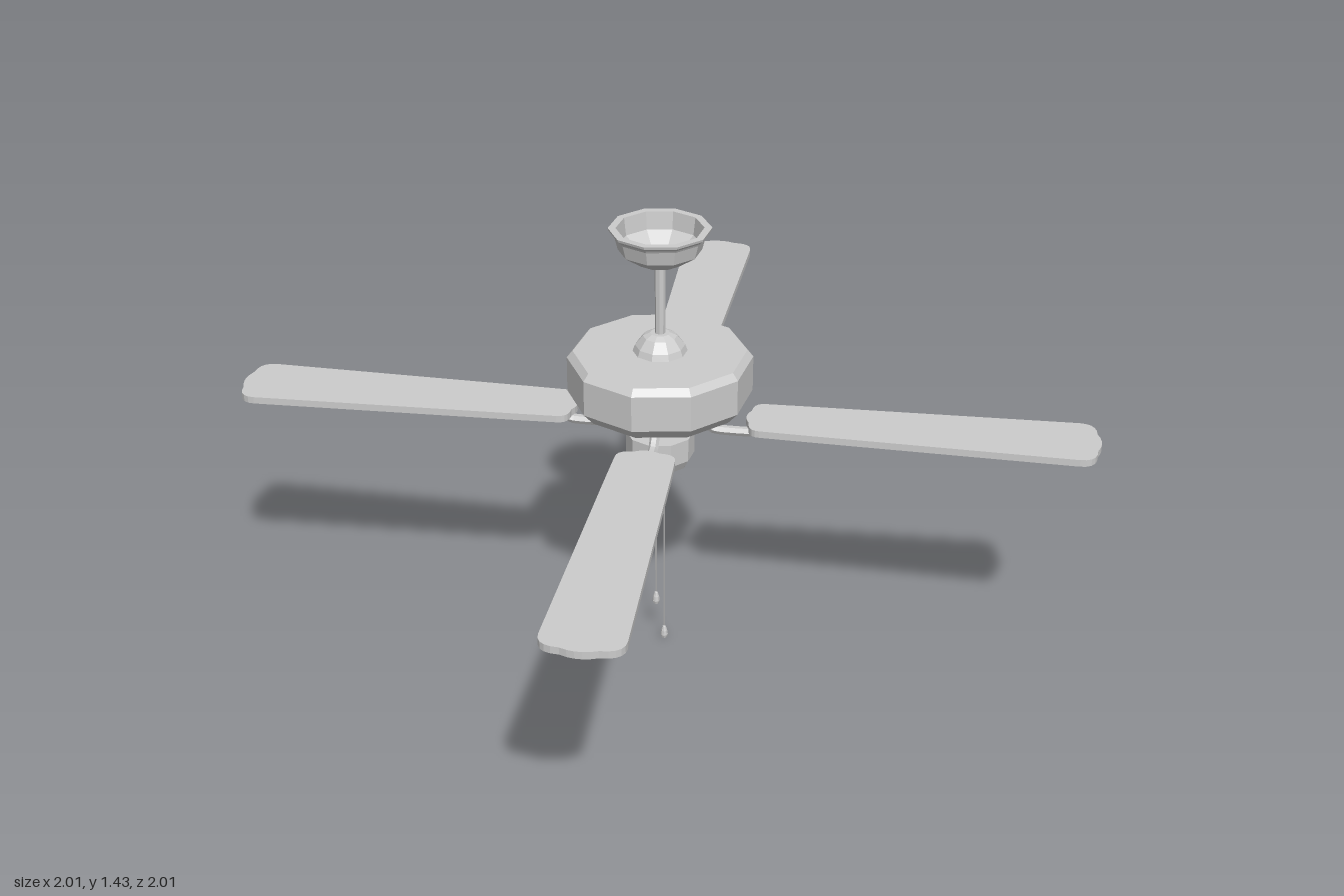
import * as THREE from 'three';

const SIDES = 10;
const BODY_Z = -0.008; // axis of the motor column

const mat = new THREE.MeshStandardMaterial({ color: 0xcccccc, flatShading: true });
const thinMat = new THREE.MeshStandardMaterial({ color: 0xcccccc, flatShading: true, side: THREE.DoubleSide });

function add(parent, name, geometry, material = mat) {
  const mesh = new THREE.Mesh(geometry, material);
  mesh.name = name;
  parent.add(mesh);
  return mesh;
}

// Faceted turned part; profile is [radius, y] from bottom to top
function turned(profile, sides = SIDES) {
  const pts = profile.map(([r, y]) => new THREE.Vector2(r, y));
  return new THREE.LatheGeometry(pts, sides, Math.PI / 2);
}

function rod(radius, y0, y1) {
  return new THREE.CylinderGeometry(radius, radius, y1 - y0, 8).translate(0, (y0 + y1) / 2, 0);
}

// Flat board lying in the xz plane
function board(shape, y0, y1) {
  return new THREE.ExtrudeGeometry(shape, { depth: y1 - y0, bevelEnabled: false, curveSegments: 5 })
    .rotateX(-Math.PI / 2).translate(0, y0, 0);
}

// Rounded end at x = end, running between half widths -w and +w
function roundedEnd(shape, end, w, corner, dir) {
  const bulge = 0.012 * dir;
  shape.lineTo(end - corner * dir, -w * dir);
  shape.quadraticCurveTo(end - bulge, -w * dir, end - bulge, -(w - corner) * dir);
  shape.quadraticCurveTo(end + bulge, 0, end - bulge, (w - corner) * dir);
  shape.quadraticCurveTo(end - bulge, w * dir, end - corner * dir, w * dir);
}

function makeBlade() {
  const arm = new THREE.Group();
  arm.name = 'bladeAssembly';
  const joint = 0.43, jointW = 0.094;

  const blade = new THREE.Shape();
  blade.moveTo(joint, jointW);
  blade.lineTo(joint, -jointW);
  roundedEnd(blade, 1.33, 0.117, 0.065, 1);
  blade.closePath();
  add(arm, 'blade', board(blade, 0.807, 0.829));

  const root = new THREE.Shape();
  root.moveTo(joint, -jointW);
  root.lineTo(joint, jointW);
  roundedEnd(root, 0.262, 0.09, 0.05, -1);
  root.closePath();
  add(arm, 'bladeRoot', board(root, 0.807, 0.829));

  // Bent bracket from the hub, dipping below the blade root
  const path = new THREE.CurvePath();
  const pts = [[0.04, 0.81], [0.12, 0.81], [0.165, 0.778], [0.285, 0.778], [0.315, 0.812]]
    .map(([r, y]) => new THREE.Vector3(r, y, 0));
  const curve = new THREE.CatmullRomCurve3(pts, false, 'catmullrom', 0.25);
  add(arm, 'bracket', new THREE.TubeGeometry(curve, 16, 0.015, 6));
  return arm;
}

export function createModel() {
  const fan = new THREE.Group();
  fan.name = 'ceilingFan';

  const body = new THREE.Group();
  body.name = 'body';
  body.position.z = BODY_Z;
  fan.add(body);

  // Open cup against the ceiling
  add(body, 'canopy', turned([
    [0, 1.325], [0.072, 1.325], [0.125, 1.362], [0.136, 1.405],
    [0.14, 1.412], [0.152, 1.422], [0.154, 1.43], [0.131, 1.43],
    [0.124, 1.375], [0.076, 1.335], [0, 1.335],
  ]), thinMat);
  add(body, 'downRod', rod(0.016, 1.07, 1.33));

  // Motor housing with its collar dome
  add(body, 'motorHousing', turned([
    [0, 0.832], [0.165, 0.832], [0.25, 0.858], [0.283, 0.895],
    [0.283, 1.008], [0.265, 1.03], [0, 1.03],
  ]));
  add(body, 'collar', turned([
    [0.085, 1.025], [0.076, 1.05], [0.052, 1.08], [0.03, 1.09], [0, 1.09],
  ]));
  add(body, 'hub', turned([[0, 0.803], [0.075, 0.803], [0.078, 0.835]]));

  // Switch housing below the hub
  add(body, 'lowerRod', rod(0.016, 0.74, 0.82));
  add(body, 'switchHousing', turned([
    [0, 0.635], [0.06, 0.635], [0.09, 0.65], [0.106, 0.68], [0.106, 0.755], [0, 0.755],
  ]));

  // Two pull chains with drop-shaped pulls
  for (const [z, bottom] of [[0.022, 0], [-0.022, 0.108]]) {
    const pull = new THREE.Group();
    pull.name = 'pullChain';
    pull.position.z = z;
    body.add(pull);
    const length = 0.64 - bottom - 0.04;
    add(pull, 'chain', new THREE.PlaneGeometry(0.009, length)
      .rotateY(Math.PI / 2).translate(0, bottom + 0.04 + length / 2, 0), thinMat);
    add(pull, 'pull', turned([
      [0, 0], [0.009, 0.004], [0.012, 0.014], [0.01, 0.03], [0.005, 0.045], [0, 0.048],
    ].map(([r, y]) => [r, y + bottom]), 8));
  }

  // Four blades
  for (let i = 0; i < 4; i++) {
    const blade = makeBlade();
    blade.rotation.y = THREE.MathUtils.degToRad(44.2 + i * 90);
    fan.add(blade);
  }
  return fan;
}
